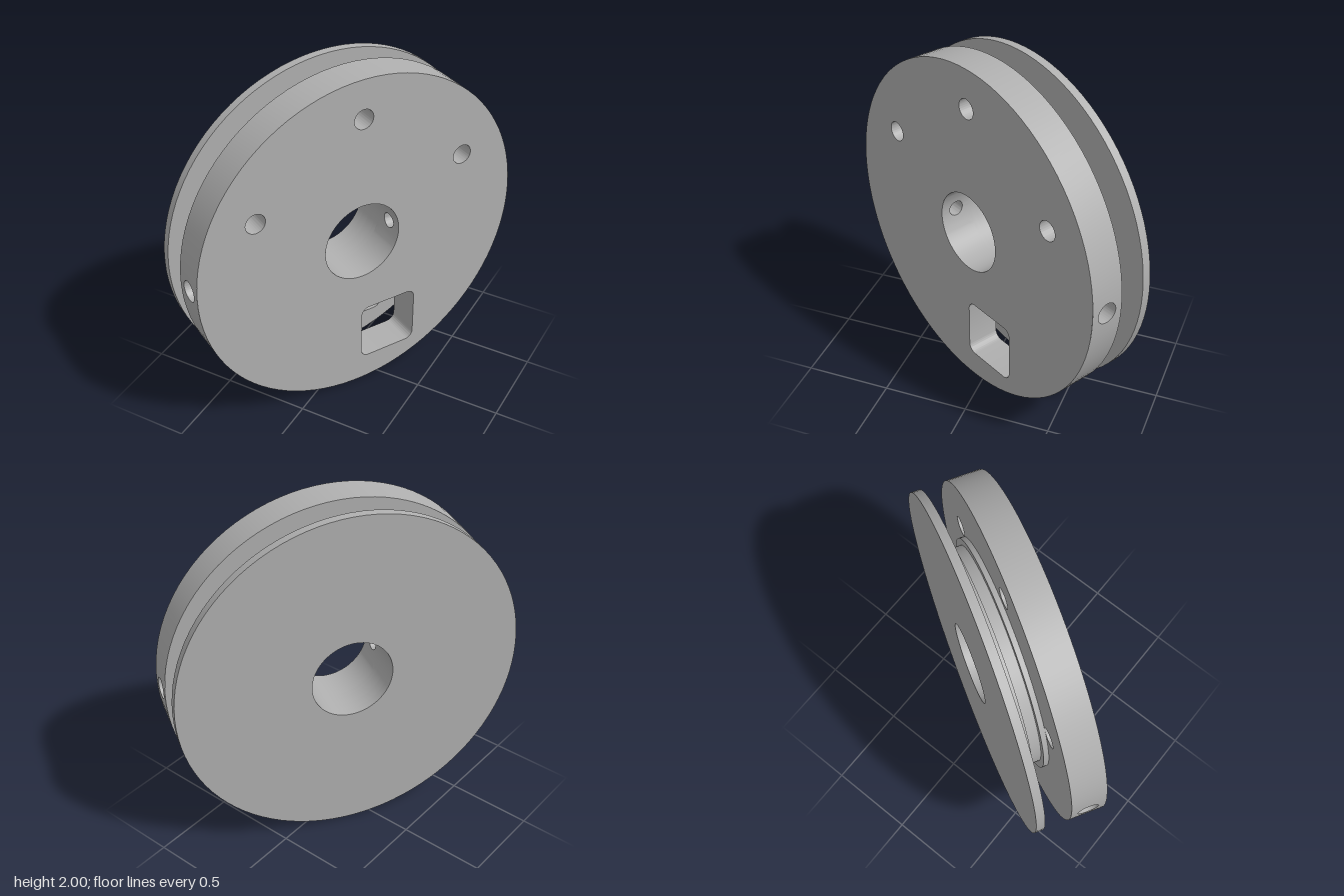
import * as THREE from 'three';
import { mergeGeometries, toCreasedNormals } from 'three/addons/utils/BufferGeometryUtils.js';

const BORE = 0.237, RIM = 1, THICK = 0.2;
const SEG = 48; // full circles get 96 sides
const WIN = { x0: 0, x1: 0.36, y0: -0.84, y1: -0.48, r: 0.05 };

const circle = (C, x, y, r) => new C().absarc(x, y, r, 0, Math.PI * 2, false);

// Rounded square window, cut through the wheel
function windowPath() {
  const { x0, x1, y0, y1, r } = WIN, H = Math.PI / 2, p = new THREE.Path();
  p.moveTo(x0 + r, y0);
  p.absarc(x1 - r, y0 + r, r, -H, 0, false);
  p.absarc(x1 - r, y1 - r, r, 0, H, false);
  p.absarc(x0 + r, y1 - r, r, H, 2 * H, false);
  p.absarc(x0 + r, y0 + r, r, 2 * H, 3 * H, false);
  return p;
}

function disc(radius, holes) {
  const s = circle(THREE.Shape, 0, 0, radius);
  s.holes.push(circle(THREE.Path, 0, 0, BORE), ...holes);
  return s;
}

// Hub outline, notched where the window breaks through its edge
function notchedDisc(radius) {
  const { x0, x1, y1, r } = WIN, H = Math.PI / 2, s = new THREE.Shape();
  const start = Math.atan2(-Math.sqrt(radius * radius - x1 * x1), x1);
  s.absarc(0, 0, radius, start, 3 * H, false);
  s.absarc(x0 + r, y1 - r, r, 2 * H, H, true);
  s.absarc(x1 - r, y1 - r, r, H, 0, true);
  s.holes.push(circle(THREE.Path, 0, 0, BORE));
  return s;
}

function slab(shape, z0, z1) {
  const g = new THREE.ExtrudeGeometry(shape, { depth: z1 - z0, bevelEnabled: false, curveSegments: SEG });
  g.translate(0, 0, z0);
  g.deleteAttribute('uv');
  g.deleteAttribute('normal');
  return g;
}

// Half-heights of the wall patches around the cross hole, on side boundaries
const BORE_HY = BORE * Math.sin(Math.PI / 6), RIM_HY = RIM * Math.sin(Math.PI / 24);

// Remove the bore and rim wall pieces that the cross hole patches replace
function openWalls(g) {
  const p = g.attributes.position, kept = [], e = 1e-3;
  for (let i = 0; i < p.count; i += 3) {
    const v = [0, 1, 2].map(k => new THREE.Vector3().fromBufferAttribute(p, i + k));
    const wall = v.some(a => Math.abs(a.z - v[0].z) > e);
    const on = (R, hy) => v.every(a => Math.abs(Math.hypot(a.x, a.y) - R) < e && Math.abs(a.y) < hy + e);
    if (!(wall && (on(BORE, BORE_HY) || on(RIM, RIM_HY)))) v.forEach(a => kept.push(a.x, a.y, a.z));
  }
  return new THREE.BufferGeometry().setAttribute('position', new THREE.Float32BufferAttribute(kept, 3));
}

// Stepped radial hole swept from the bore wall patch out to the rim wall patch
function crossHole(angle) {
  const rows = 64, zMid = THICK / 2;
  const patch = (R, r, hy, t) => (c, s) => {
    const m = Math.max(Math.abs(c), Math.abs(s));
    const y = THREE.MathUtils.lerp(r * c, hy * c / m, t);
    const z = THREE.MathUtils.lerp(r * s, zMid * s / m, t);
    return [Math.sqrt(R * R - y * y), y, z + zMid];
  };
  const ring = (x, r) => (c, s) => [x, r * c, r * s + zMid];
  const steps = [0, 0.33, 0.66, 1];
  const rings = [
    ...steps.slice().reverse().map(t => patch(BORE, 0.045, BORE_HY, t)),
    ring(0.6, 0.045), ring(0.6, 0.06),
    ...steps.map(t => patch(RIM, 0.06, RIM_HY, t)),
  ];
  const cols = rings.length - 1;
  const g = new THREE.PlaneGeometry(cols, rows, cols, rows);
  const p = g.attributes.position;
  for (let i = 0; i < p.count; i++) {
    const a = (rows - Math.floor(i / (cols + 1))) / rows * Math.PI * 2;
    p.setXYZ(i, ...rings[i % (cols + 1)](Math.cos(a), Math.sin(a)));
  }
  g.deleteAttribute('uv');
  g.deleteAttribute('normal');
  return g.toNonIndexed().rotateZ(angle);
}

export function createModel() {
  const grey = new THREE.MeshStandardMaterial({ color: 0xb0b0b0, side: THREE.DoubleSide });
  grey.name = 'grey';

  const wheel = new THREE.Group();
  wheel.name = 'wheel';
  const add = (name, geometry) => {
    const mesh = new THREE.Mesh(toCreasedNormals(geometry, Math.PI / 6), grey);
    mesh.name = name;
    wheel.add(mesh);
  };

  // Thick front disc with three face holes, window and cross hole
  const faceHoles = [[0, 0.77], [0.647, 0.355], [-0.647, 0.355]]
    .map(([x, y]) => circle(THREE.Path, x, y, 0.058));
  const body = openWalls(slab(disc(RIM, [...faceHoles, windowPath()]), 0, THICK));
  add('thickDisc', mergeGeometries([body, crossHole(0), crossHole(Math.PI)]));

  // Grooved hub between the discs
  add('hubFrontFlange', slab(notchedDisc(0.68), -0.03, 0));
  add('hubGroove', slab(notchedDisc(0.64), -0.095, -0.03));
  add('hubRearFlange', slab(notchedDisc(0.68), -0.15, -0.095));

  // Thin rear disc with a shallow pocket behind the window
  add('thinDisc', slab(disc(RIM, [windowPath()]), -0.185, -0.15));
  add('pocketFloor', slab(disc(RIM, []), -0.2, -0.185));

  // Stand upright on the rim, turned to one side
  wheel.rotation.y = Math.PI / 3;
  wheel.position.y = 1;
  const model = new THREE.Group();
  model.name = 'groovedWheel';
  model.add(wheel);
  return model;
}
